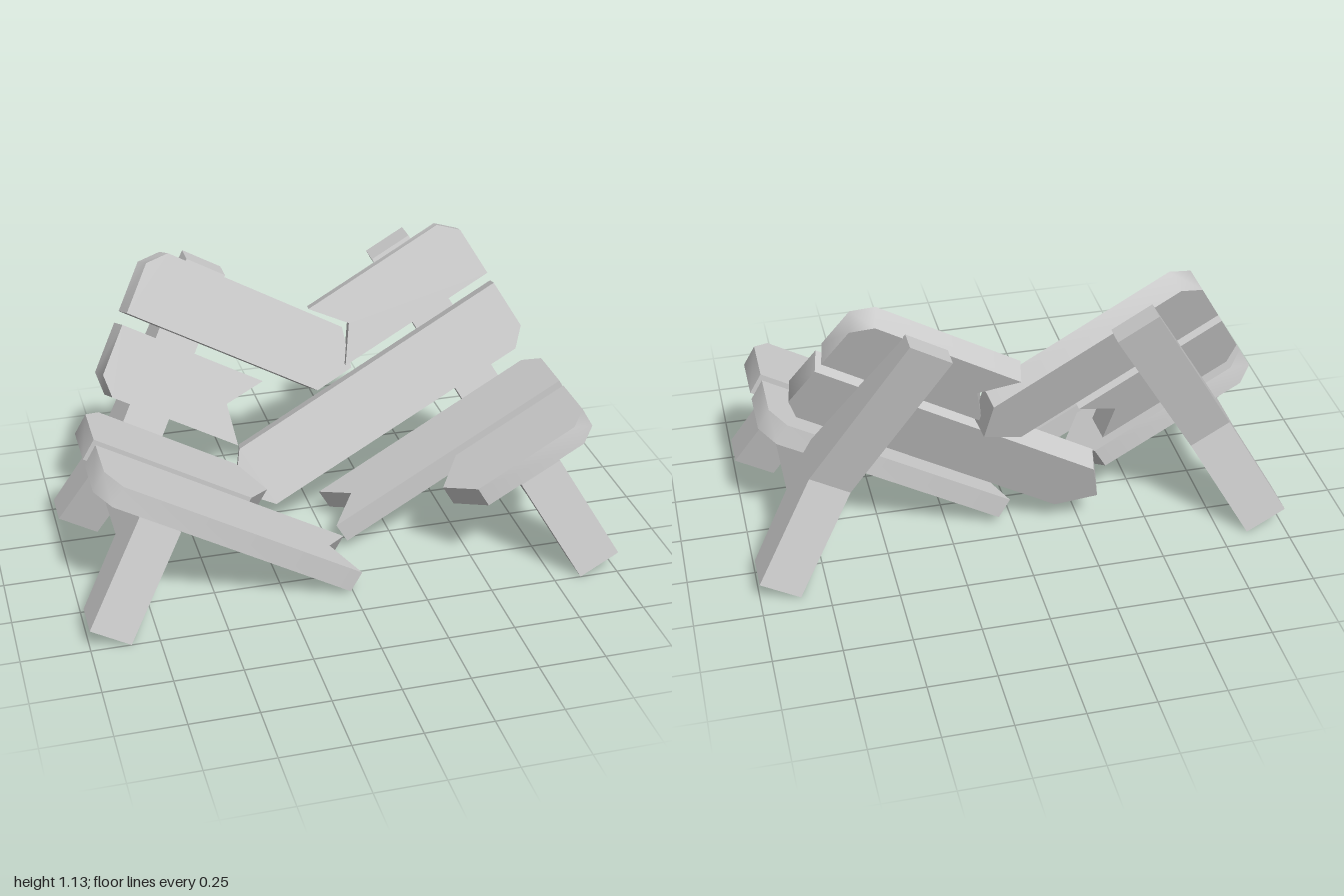
import * as THREE from 'three';
import { toCreasedNormals } from 'three/addons/utils/BufferGeometryUtils.js';

const TILT = Math.PI / 6; // lean of each broken half
const RECLINE = 0.373; // slope of the backrest
const WIDTH = 0.262, OUTER = 1.08, CHAMFER = 0.065;

const grey = new THREE.MeshStandardMaterial({ color: 0xcccccc });
const flatGrey = new THREE.MeshStandardMaterial({ color: 0xcccccc, flatShading: true });

// Board with one chamfered outer corner and a V-shaped broken inner end:
// edge = where the long sides stop, mid = where the V has its point or notch
function boardGeometry(side, edge, mid, chamferTop, thickness) {
  const outerEnd = chamferTop
    ? [[OUTER, 0], [OUTER, WIDTH - CHAMFER], [OUTER - CHAMFER, WIDTH]]
    : [[OUTER - CHAMFER, 0], [OUTER, CHAMFER], [OUTER, WIDTH]];
  const outline = [[edge, 0], ...outerEnd, [edge, WIDTH], [mid, WIDTH / 2]];
  const shape = new THREE.Shape(outline.map(([u, w]) => new THREE.Vector2(side * u, w)));
  return new THREE.ExtrudeGeometry(shape, { depth: thickness, bevelEnabled: false });
}

function addMesh(group, name, geometry, material) {
  const mesh = new THREE.Mesh(geometry, material);
  mesh.name = name;
  group.add(mesh);
  return mesh;
}

function addSeatBoard(group, side, name, front, edge, mid, chamferBack) {
  const geo = boardGeometry(side, edge, mid, chamferBack, 0.087).rotateX(-Math.PI / 2);
  addMesh(group, name, toCreasedNormals(geo, 0.85), grey).position.set(0, 0.004, front);
}

function addBackBoard(group, side, name, offset, edge, mid, chamferTop) {
  const geo = boardGeometry(side, edge, mid, chamferTop, 0.095);
  geo.translate(0, offset, -0.095).rotateX(-RECLINE);
  addMesh(group, name, toCreasedNormals(geo, 0.85), grey).position.set(0, 0.187, -0.12);
}

// Legs, seat rail and back post cut from one side profile (z, height)
function addSideFrame(group, side) {
  const profile = [
    [0.5, -0.427], [0.39, 0], [-0.15, 0], [-0.415, 0.7], [-0.5, 0.7], [-0.335, 0],
    [-0.43, -0.427], [-0.285, -0.427], [-0.21, -0.143], [0.275, -0.143], [0.355, -0.427],
  ];
  const shape = new THREE.Shape(profile.map(([z, y]) => new THREE.Vector2(z, y)));
  const geo = new THREE.ExtrudeGeometry(shape, { depth: 0.168, bevelEnabled: false });
  geo.translate(0, 0, -0.084).rotateY(-Math.PI / 2);
  addMesh(group, 'sideFrame', geo, flatGrey).position.x = side * 0.823;
}

// Break positions [edge, mid] of every board on each half
const halves = [
  { name: 'leftHalf', side: 1, seatFront: [0.596, 0.49], seatBack: [0.068, 0.177],
    backLower: [-0.09, -0.195], backUpper: [0.43, 0.53] },
  { name: 'rightHalf', side: -1, seatFront: [0.018, 0.122], seatBack: [0.417, 0.313],
    backLower: [0.475, 0.58], backUpper: [0.245, 0.145] },
];

export function createModel() {
  const bench = new THREE.Group();
  bench.name = 'brokenBench';
  for (const { name, side, seatFront, seatBack, backLower, backUpper } of halves) {
    const half = new THREE.Group();
    half.name = name;
    addSideFrame(half, side);
    addSeatBoard(half, side, 'seatFrontBoard', 0.39, ...seatFront, false);
    addSeatBoard(half, side, 'seatBackBoard', 0.087, ...seatBack, true);
    addBackBoard(half, side, 'backLowerBoard', 0, ...backLower, false);
    addBackBoard(half, side, 'backUpperBoard', 0.308, ...backUpper, true);
    half.rotation.z = side * TILT; // both halves sag towards the middle
    bench.add(half);
  }
  return bench;
}
